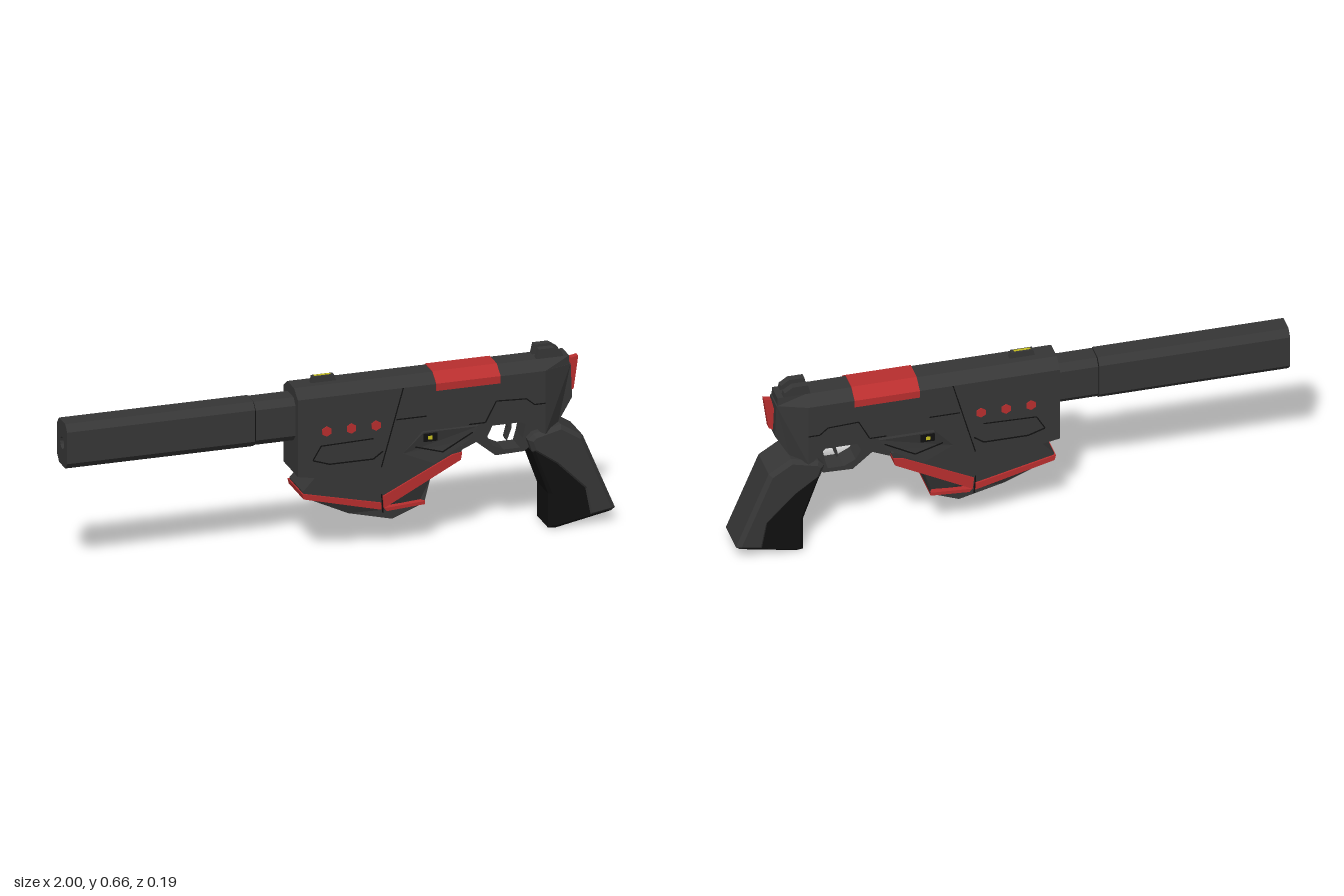
import * as THREE from 'three';

const mat = (name, color) => Object.assign(new THREE.MeshStandardMaterial({ color }), { name });

export function createModel() {
  const model = new THREE.Group();
  const grey = mat('gunmetal', 0x363636);
  const black = mat('black rubber', 0x101010);
  const red = mat('red accent', 0xb82e2e);
  const yellow = mat('yellow marker', 0xc8c020);

  const outline = (pts) => pts.map(([x, y]) => new THREE.Vector2(x, y));

  function add(name, geo, material) {
    const mesh = new THREE.Mesh(geo, material);
    mesh.name = name;
    model.add(mesh);
    return mesh;
  }

  // Move vertices by a rule, then refresh the flat normals
  function warp(geo, rule) {
    const p = geo.attributes.position;
    const v = new THREE.Vector3();
    for (let i = 0; i < p.count; i++) {
      rule(v.fromBufferAttribute(p, i));
      p.setXYZ(i, v.x, v.y, v.z);
    }
    geo.computeVertexNormals();
    return geo;
  }
  const clampZ = (v, w) => { v.z = Math.max(-w, Math.min(w, v.z)); };

  // Side profile extruded across the width, centred on z = 0; the bevel narrows the outer faces
  function side(name, pts, half, material, { rule, hole, bevel = 0 } = {}) {
    const shape = new THREE.Shape(outline(pts));
    if (hole) shape.holes.push(new THREE.Path(outline(hole)));
    const geo = new THREE.ExtrudeGeometry(shape, {
      depth: 2 * (half - bevel), bevelEnabled: bevel > 0, bevelSegments: 1,
      bevelSize: bevel, bevelThickness: bevel, bevelOffset: -bevel,
    });
    geo.translate(0, 0, bevel - half);
    if (rule) warp(geo, rule);
    return add(name, geo, material);
  }

  // Cross-section (z, y) extruded along x
  function along(name, pts, x0, x1, material, { rule, hole } = {}) {
    const shape = new THREE.Shape(outline(pts));
    if (hole) shape.holes.push(new THREE.Path().absarc(0, hole.y, hole.r, 0, Math.PI * 2, true));
    const geo = new THREE.ExtrudeGeometry(shape, { depth: x1 - x0, bevelEnabled: false, curveSegments: 6 });
    geo.rotateY(Math.PI / 2).translate(x0, 0, 0);
    if (rule) warp(geo, rule);
    return add(name, geo, material);
  }

  function box(name, x0, x1, y0, y1, z0, z1, material) {
    const geo = new THREE.BoxGeometry(x1 - x0, y1 - y0, z1 - z0);
    geo.translate((x0 + x1) / 2, (y0 + y1) / 2, (z0 + z1) / 2);
    return add(name, geo, material);
  }

  // Thin dark panel lines on both flanks
  function seam(pts, z) {
    for (let i = 1; i < pts.length; i++) {
      const [a, b] = [pts[i - 1], pts[i]];
      const dx = b[0] - a[0], dy = b[1] - a[1];
      for (const s of [-1, 1]) {
        const line = add('panelLine', new THREE.BoxGeometry(Math.hypot(dx, dy), 0.004, 0.003), black);
        line.position.set((a[0] + b[0]) / 2, (a[1] + b[1]) / 2, s * z);
        line.rotation.z = Math.atan2(dy, dx);
      }
    }
  }

  // Barrel: tall octagon with a bored muzzle and a short collar near the body
  const octagon = (w, y0, y1, cz, cy) => [
    [-w + cz, y0], [w - cz, y0], [w, y0 + cy], [w, y1 - cy],
    [w - cz, y1], [-w + cz, y1], [-w, y1 - cy], [-w, y0 + cy],
  ];
  along('barrel', octagon(0.056, 0.427, 0.592, 0.022, 0.024), -1, -0.313, grey, { hole: { y: 0.51, r: 0.022 } });
  along('barrelCollar', octagon(0.054, 0.43, 0.59, 0.022, 0.024), -0.31, -0.15, grey);
  box('boreEnd', -0.9, -0.89, 0.48, 0.54, -0.03, 0.03, black);
  along('barrelSeam', octagon(0.053, 0.431, 0.588, 0.022, 0.024), -0.316, -0.308, black);

  // Main body with chamfered roof and a rear that tapers inward
  const taper = (v) => { if (v.x > 0.79) clampZ(v, 0.04); };
  side('body', [[-0.165, 0.31], [0, 0.28], [0.14, 0.3], [0.3, 0.34], [0.45, 0.415],
    [0.68, 0.415], [0.72, 0.37], [0.74, 0.36], [0.74, 0.595], [-0.165, 0.595]], 0.08, grey);
  side('bodyRear', [[0.74, 0.36], [0.77, 0.355], [0.8, 0.385], [0.85, 0.47], [0.845, 0.595], [0.74, 0.595]],
    0.08, grey, { rule: taper });
  const roof = [[-0.08, 0.595], [0.08, 0.595], [0.037, 0.625], [-0.037, 0.625]];
  along('roof', roof, -0.165, 0.74, grey);
  along('roofRear', roof, 0.74, 0.84, grey, { rule: taper });
  along('topPlate', [[-0.083, 0.57], [0.083, 0.57], [0.083, 0.597], [0.039, 0.628], [-0.039, 0.628], [-0.083, 0.597]],
    0.34, 0.575, red);

  // Lower front cover plates
  side('coverPlate', [[-0.11, 0.365], [-0.08, 0.335], [0, 0.295], [0.12, 0.315], [0.145, 0.37], [0.11, 0.345], [-0.05, 0.345]],
    0.083, grey);

  // Panel lines
  seam([[0.22, 0.595], [0.14, 0.31]], 0.08);
  seam([[0.195, 0.48], [0.305, 0.48]], 0.08);
  seam([[-0.11, 0.365], [-0.08, 0.415], [0.11, 0.42]], 0.08);
  seam([[-0.11, 0.365], [-0.05, 0.345], [0.11, 0.345], [0.145, 0.37]], 0.083);
  seam([[0.46, 0.43], [0.52, 0.43], [0.56, 0.505], [0.67, 0.5], [0.7, 0.475], [0.74, 0.475]], 0.08);

  // Red hexagonal studs
  for (const s of [-1, 1]) for (const x of [-0.06, 0.03, 0.12]) {
    const stud = add('stud', new THREE.CylinderGeometry(0.019, 0.019, 0.006, 6).rotateX(Math.PI / 2), red);
    stud.position.set(x, 0.468, s * 0.081);
  }

  // Side wings with yellow markers
  side('sideWing', [[0.22, 0.35], [0.33, 0.305], [0.46, 0.38], [0.49, 0.425], [0.29, 0.425]], 0.093, grey,
    { rule: (v) => { if (v.x < 0.25) clampZ(v, 0.08); } });
  seam([[0.26, 0.375], [0.36, 0.345], [0.47, 0.405]], 0.093);
  for (const s of [-1, 1]) {
    box('markerRecess', 0.29, 0.34, 0.39, 0.42, s * 0.093 - 0.002, s * 0.093 + 0.002, black);
    box('marker', 0.306, 0.322, 0.398, 0.411, s * 0.094 - 0.003, s * 0.094 + 0.003, yellow);
  }

  // Under-barrel pod with tapered belly
  side('podUpper', [[-0.09, 0.31], [-0.145, 0.25], [-0.14, 0.23], [0.14, 0.165], [0.43, 0.315], [0.44, 0.35],
    [0.3, 0.39], [0.14, 0.33]], 0.075, grey);
  side('podBelly', [[-0.135, 0.225], [0.03, 0.14], [0.19, 0.1], [0.28, 0.135], [0.3, 0.16], [0.32, 0.24],
    [0.42, 0.3], [0.14, 0.2]], 0.073, grey, { rule: (v) => { if (v.y < 0.145) clampZ(v, 0.048); } });
  side('podTrimFront', [[-0.15, 0.245], [-0.145, 0.225], [0.14, 0.152], [0.14, 0.177]], 0.082, red);
  side('podTrimRear', [[0.145, 0.2], [0.15, 0.157], [0.43, 0.303], [0.435, 0.33], [0.4, 0.325]], 0.082, red);
  side('podTrimLow', [[0.15, 0.155], [0.16, 0.143], [0.3, 0.152], [0.3, 0.164]], 0.078, red);
  seam([[0.14, 0.21], [0.145, 0.14]], 0.083);

  // Trigger guard and trigger
  side('triggerGuard', [[0.43, 0.43], [0.43, 0.315], [0.5, 0.345], [0.57, 0.287], [0.675, 0.29], [0.73, 0.33], [0.73, 0.43]],
    0.04, grey, { hole: [[0.54, 0.36], [0.565, 0.41], [0.63, 0.413], [0.68, 0.39], [0.67, 0.34], [0.66, 0.305], [0.6, 0.305], [0.56, 0.325]] });
  side('trigger', [[0.605, 0.42], [0.64, 0.42], [0.637, 0.37], [0.62, 0.325], [0.615, 0.335], [0.625, 0.375]], 0.014, grey);

  // Grip: grey shell over a black core
  side('gripShell', [[0.68, 0.34], [0.7, 0.36], [0.8, 0.385], [0.88, 0.335], [0.998, 0.052], [0.985, 0.043], [0.9, 0.03],
    [0.88, 0.135], [0.78, 0.235], [0.695, 0.295]], 0.08, grey, { bevel: 0.014 });
  side('gripCore', [[0.69, 0.31], [0.755, 0.13], [0.755, 0.003], [0.78, 0], [0.985, 0.04], [0.9, 0.2], [0.8, 0.3]],
    0.074, black, { bevel: 0.012 });

  // Hammer
  side('hammer', [[0.83, 0.47], [0.865, 0.49], [0.882, 0.61], [0.855, 0.605], [0.84, 0.54], [0.82, 0.5]], 0.012, red);

  // Sights
  for (const s of [-1, 1]) {
    const sight = side('rearSight', [[0.72, 0.62], [0.82, 0.62], [0.815, 0.64], [0.785, 0.66], [0.73, 0.66]], 0.0125, grey);
    sight.position.z = s * 0.0245;
    box('rearSightMarker', 0.783, 0.787, 0.643, 0.653, s * 0.0245 - 0.004, s * 0.0245 + 0.004, yellow);
  }
  side('frontSight', [[-0.095, 0.62], [0, 0.62], [-0.01, 0.648], [-0.088, 0.648]], 0.01, grey);
  box('frontSightMarker', -0.08, -0.02, 0.647, 0.65, -0.004, 0.004, yellow);

  return model;
}
